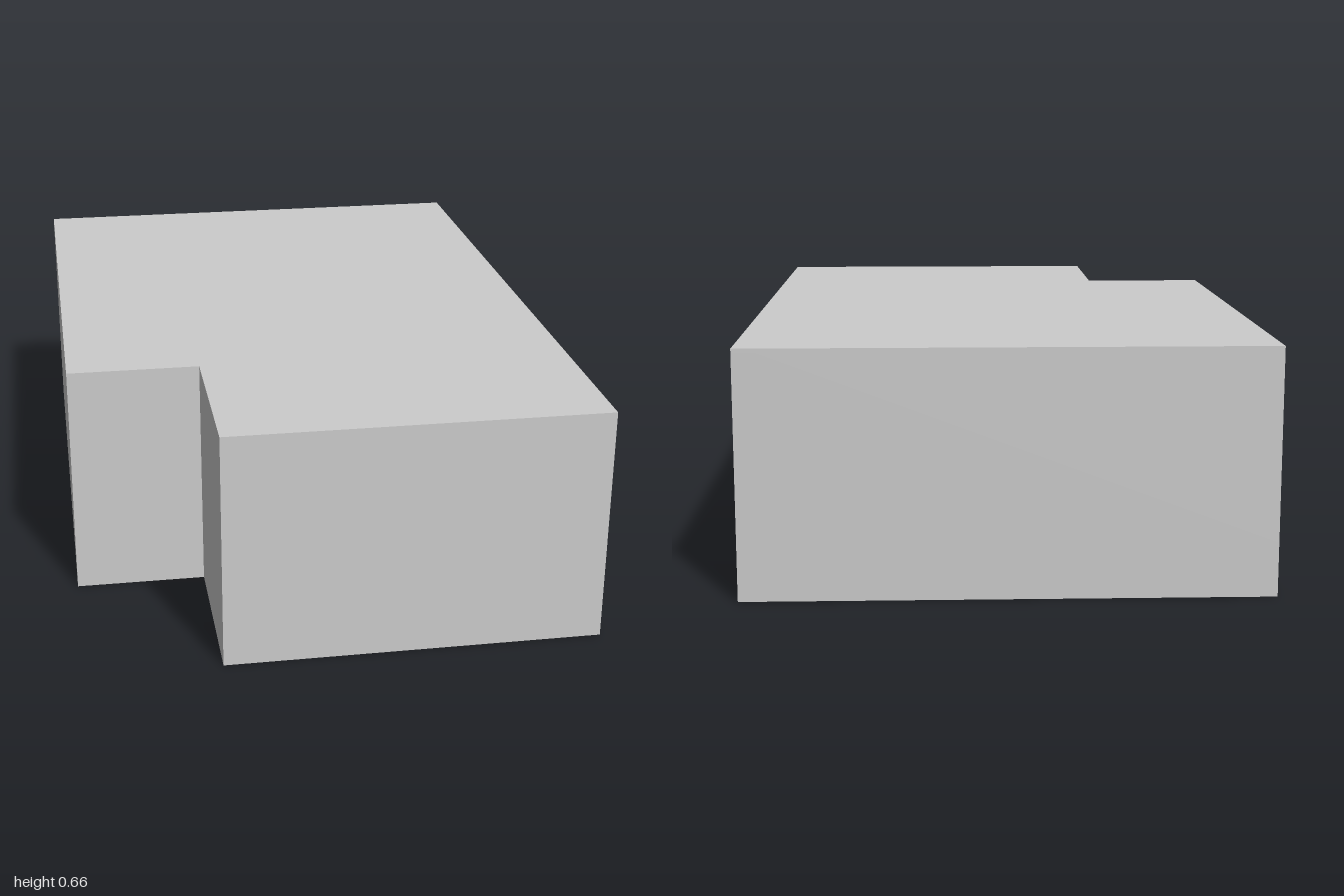
import * as THREE from 'three';

const material = new THREE.MeshStandardMaterial({ color: 0xcccccc, flatShading: true });

const H = 0.66;          // total height
const FACE = 0.70;       // facade plane on the left side
const BACK = 0.64;       // back of the recessed bays and the groove
const PLINTH = 0.145;
const SILL = 0.19;
const HEAD = 0.65;

function add(parent, name, geometry) {
  const mesh = new THREE.Mesh(geometry, material);
  mesh.name = name;
  parent.add(mesh);
  return mesh;
}

// Box given by its limits on each axis
function block(parent, name, x0, x1, y0, y1, z0, z1) {
  const mesh = add(parent, name, new THREE.BoxGeometry(x1 - x0, y1 - y0, z1 - z0));
  mesh.position.set((x0 + x1) / 2, (y0 + y1) / 2, (z0 + z1) / 2);
}

// Footprint with the notched corner, extruded between two heights
function storey(parent, name, xMax, y0, y1) {
  const outline = [[-0.70, 1], [xMax, 1], [xMax, -1], [-0.335, -1], [-0.335, -0.51], [-0.70, -0.51]];
  const shape = new THREE.Shape(outline.map(([x, y]) => new THREE.Vector2(x, y)));
  const geometry = new THREE.ExtrudeGeometry(shape, { depth: y1 - y0, bevelEnabled: false });
  geometry.rotateX(-Math.PI / 2);
  add(parent, name, geometry).position.y = y0;
}

function rectangle(target, x0, x1, y0, y1) {
  target.moveTo(x0, y0);
  target.lineTo(x1, y0);
  target.lineTo(x1, y1);
  target.lineTo(x0, y1);
  target.closePath();
  return target;
}

// Window section from z0 to z1: two rows of panes set back in a frame
function windowSection(z0, z1, columns) {
  const section = new THREE.Group();
  section.name = 'windowSection';
  const reveal = 0.015, bar = 0.018;
  const width = z1 - z0;
  const shape = rectangle(new THREE.Shape(), 0, width, SILL, HEAD);
  const paneWidth = (width - bar * (columns + 1)) / columns;
  for (let i = 0; i < columns; i++) {
    const x = bar + i * (paneWidth + bar);
    for (const [low, high] of [[0.21, 0.41], [0.435, 0.635]]) {
      shape.holes.push(rectangle(new THREE.Path(), x, x + paneWidth, low, high));
    }
  }
  const frame = new THREE.ExtrudeGeometry(shape, { depth: reveal, bevelEnabled: false });
  frame.rotateY(Math.PI / 2);
  add(section, 'windowFrame', frame).position.set(FACE - 0.002 - reveal, 0, z1);
  block(section, 'windowPanes', BACK, FACE - 0.002 - reveal, SILL, HEAD, z0, z1);
  return section;
}

export function createModel() {
  const model = new THREE.Group();
  model.name = 'building';

  // Main masses
  storey(model, 'plinth', FACE, 0, PLINTH);
  storey(model, 'walls', BACK, PLINTH, HEAD);
  storey(model, 'roof', FACE, HEAD, H);

  // Thin end walls closing the facade
  for (const side of [-1, 1]) {
    const inner = side * 0.995;
    block(model, 'endWall', BACK, FACE, PLINTH, HEAD, Math.min(inner, side), Math.max(inner, side));
  }

  // Window sections, separated by recessed bays
  const sections = [[0.59, 0.995, 3], [0.005, 0.44, 4], [-0.48, -0.055, 4], [-0.995, -0.54, 3]];
  for (const [z0, z1, columns] of sections) model.add(windowSection(z0, z1, columns));

  // Floors of the recessed bays
  for (const [z0, z1] of [[0.44, 0.59], [-0.055, 0.005], [-0.54, -0.48]]) {
    block(model, 'bayFloor', BACK, FACE - 0.002, SILL, SILL + 0.004, z0, z1);
  }
  return model;
}
